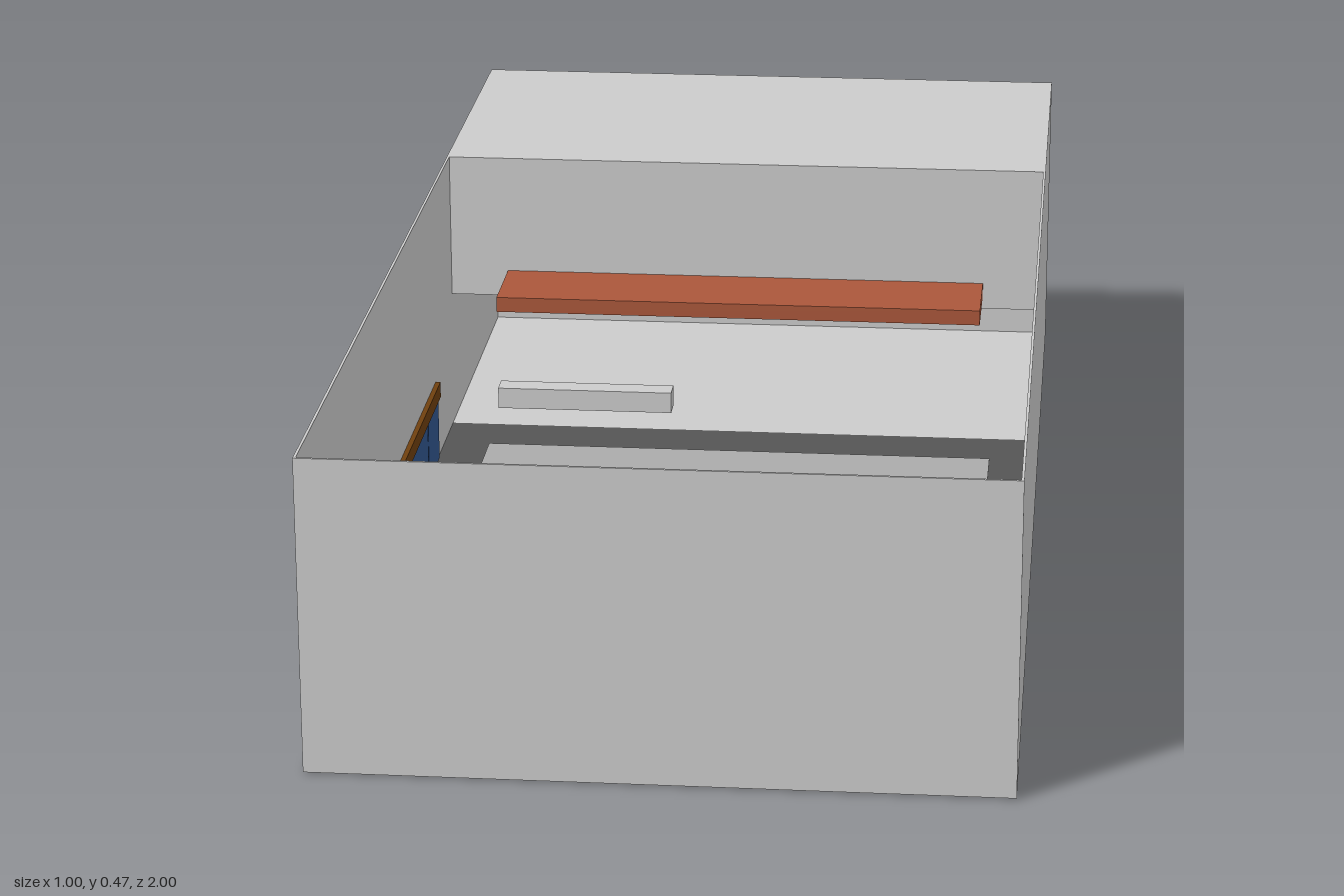
import * as THREE from 'three';

const mat = (color) => new THREE.MeshStandardMaterial({ color, flatShading: true, side: THREE.DoubleSide });

export function createModel() {
  const model = new THREE.Group();
  const grey = mat(0xcccccc), floorGrey = mat(0xaaaaaa), dark = mat(0x555555);
  const brick = mat(0xaa573b), blue = mat(0x31568f), wood = mat(0x70400f);

  // box given by its limits on each axis
  function box(name, material, [x0, x1], [y0, y1], [z0, z1]) {
    const mesh = new THREE.Mesh(new THREE.BoxGeometry(x1 - x0, y1 - y0, z1 - z0), material);
    mesh.position.set((x0 + x1) / 2, (y0 + y1) / 2, (z0 + z1) / 2);
    mesh.name = name;
    model.add(mesh);
    return mesh;
  }
  const rect = (path, x0, x1, z0, z1) =>
    path.moveTo(x0, -z1).lineTo(x1, -z1).lineTo(x1, -z0).lineTo(x0, -z0).closePath();

  const H = 0.472, MID = 0.235, T = 0.004, PART = -0.45;

  // outer walls; the rear one stops at half height below the opening
  for (const s of [-1, 1]) {
    const x = s * (0.5 - T / 2);
    box(s > 0 ? 'leftWall' : 'rightWall', grey, [x - T / 2, x + T / 2], [0.002, H], [-1, 1]);
  }
  box('frontWall', grey, [-0.5 + T, 0.5 - T], [0.002, H], [1 - T, 1]);
  box('rearWall', grey, [-0.5 + T, 0.5 - T], [0.002, MID], [-1, -1 + T]);

  // rear compartment: roof, hanging partition, shelf floor, ground floor
  box('rearRoof', grey, [-0.5 + T, 0.5 - T], [H - T, H], [-1, PART]);
  box('partition', grey, [-0.5 + T, 0.5 - T], [MID, H - T], [PART - T, PART]);
  box('upperFloor', grey, [-0.5 + T, 0.5 - T], [MID - T, MID], [-1 + T, PART]);
  box('rearFloor', grey, [-0.5 + T, 0.5 - T], [0.002, 0.006], [-1 + T, -0.43]);

  // main floor: dark border, lighter field with two openings showing the dark slab
  box('floorBorder', dark, [-0.5 + T, 0.5 - T], [0.002, 0.006], [-0.43, 1 - T]);
  const field = new THREE.Shape();
  rect(field, -0.42, 0.42, -0.33, 0.87);
  for (const x of [-0.24, 0.08]) {
    const hole = new THREE.Path();
    rect(hole, x, x + 0.16, 0.15, 0.39);
    field.holes.push(hole);
  }
  const fieldGeometry = new THREE.ExtrudeGeometry(field, { depth: 0.008, bevelEnabled: false });
  fieldGeometry.rotateX(-Math.PI / 2);
  const floorField = new THREE.Mesh(fieldGeometry, floorGrey);
  floorField.name = 'floorField';
  model.add(floorField);

  // counter below the partition and the short rail under it
  box('counterTop', brick, [-0.4, 0.4], [0.25, 0.275], [PART, -0.305]);
  box('rail', grey, [-0.4, -0.11], [0.08, 0.115], [-0.345, -0.307]);

  // blue panels with a wooden cap along the right wall
  const cuts = [-0.25, -0.134, 0.143, 0.42, 0.697, 0.79];
  for (let i = 0; i < cuts.length - 1; i++) {
    box('wallPanel', blue, [-0.496, -0.492], [0.01, 0.117], [cuts[i] + 0.002, cuts[i + 1] - 0.002]);
  }
  box('panelCap', wood, [-0.496, -0.488], [0.117, 0.143], [-0.25, 0.79]);

  // small low marker on the floor
  const marker = new THREE.Mesh(new THREE.CylinderGeometry(0.03, 0.03, 0.008, 12, 1, false, 0, Math.PI), brick);
  marker.rotation.set(Math.PI / 2, Math.PI / 2, 0, 'YXZ');
  marker.rotation.set(0, Math.PI / 2, 0);
  marker.scale.set(0.3, 1, 1);
  marker.position.set(0.12, 0.012, 0);
  marker.name = 'floorMarker';
  model.add(marker);

  return model;
}
